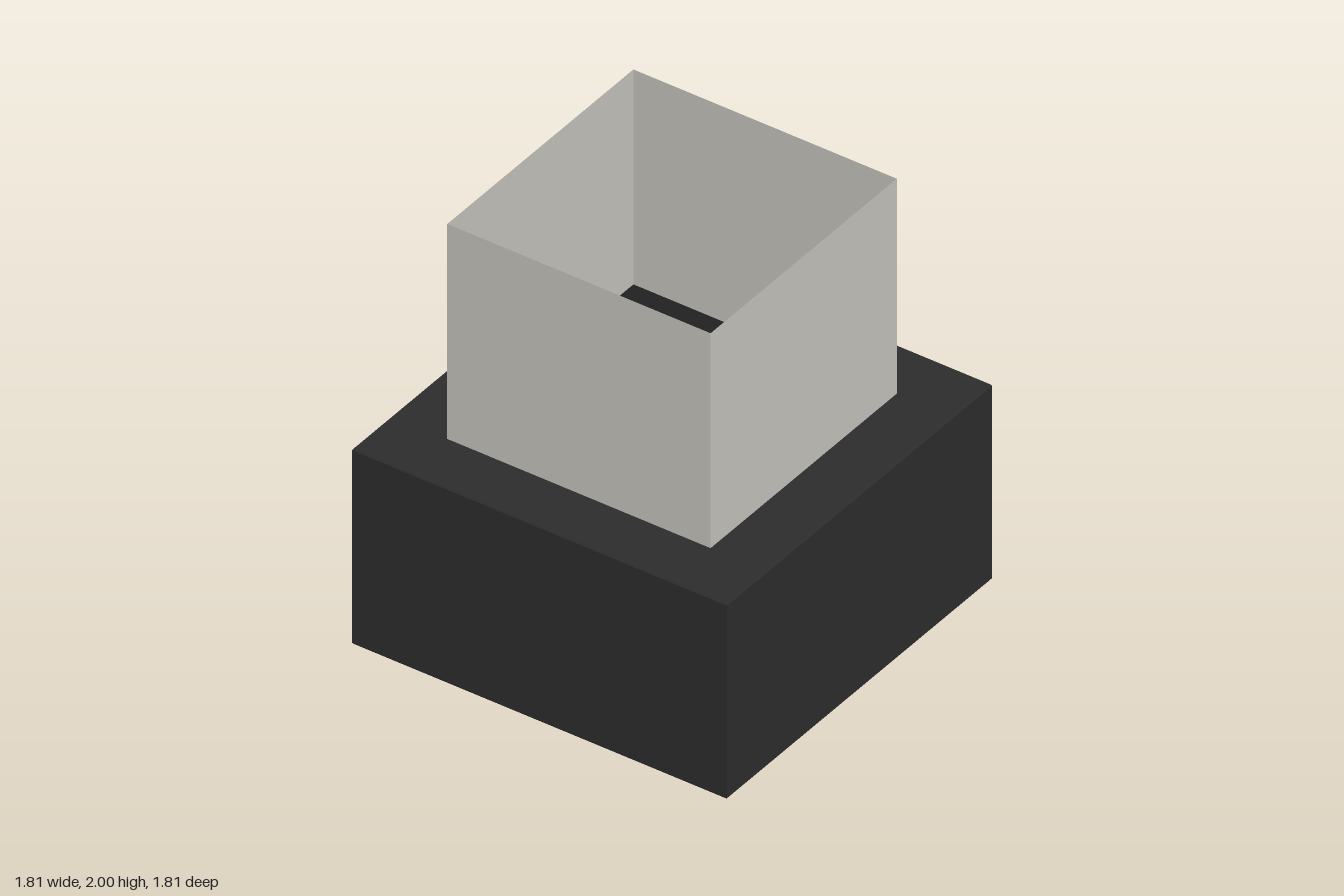
import * as THREE from 'three';

// Square shell of single sheets, swept from a [half width, height] profile.
function squareShell(name, profile, material) {
  const points = profile.map(([half, y]) => new THREE.Vector2(half * Math.SQRT2, y));
  const geometry = new THREE.LatheGeometry(points, 4).rotateY(Math.PI / 4).toNonIndexed();
  geometry.computeVertexNormals(); // flat faces
  const mesh = new THREE.Mesh(geometry, material);
  mesh.name = name;
  return mesh;
}

export function createModel() {
  const charcoal = new THREE.MeshStandardMaterial({ color: 0x2d2d2d, side: THREE.DoubleSide });
  charcoal.name = 'charcoal';
  const warmGrey = new THREE.MeshStandardMaterial({ color: 0xc6c5be, side: THREE.DoubleSide });
  warmGrey.name = 'warm grey';

  const model = new THREE.Group();
  model.name = 'boxWithSleeve';

  // Base: open below, slightly bevelled rims, top with a square opening
  model.add(squareShell('base', [
    [0.9, 0], [0.906, 0.008], [0.906, 0.945], [0.9, 0.953], [0.636, 0.953],
  ], charcoal));

  // Sleeve: four thin walls, open at both ends
  model.add(squareShell('sleeve', [[0.636, 0.953], [0.636, 2]], warmGrey));

  return model;
}
